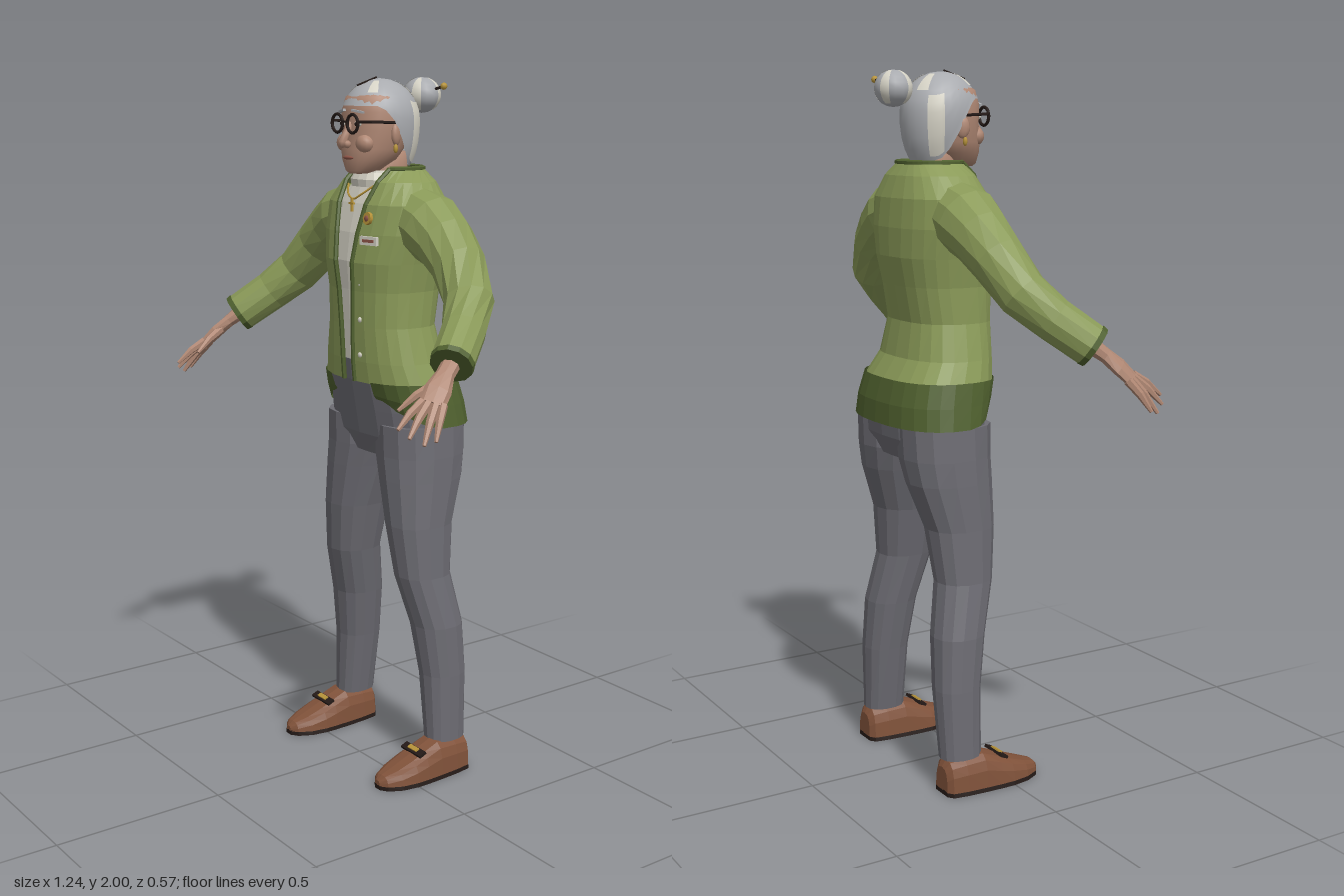
import * as THREE from 'three';

const mat = (name, color, double) => {
  const m = new THREE.MeshStandardMaterial({ color });
  m.name = name;
  if (double) m.side = THREE.DoubleSide;
  return m;
};
const V = (x, y, z) => new THREE.Vector3(x, y, z);

// Skin a stack of rings; rings run counter-clockwise about the stacking direction.
function skin(rings, { closed = true, cap = true, flat = true } = {}) {
  const n = rings[0].length, pts = rings.flat(), idx = [];
  const cols = closed ? n : n - 1;
  for (let i = 0; i < rings.length - 1; i++) {
    for (let j = 0; j < cols; j++) {
      const k = (j + 1) % n, a = i * n + j, b = i * n + k, c = b + n, d = a + n;
      idx.push(a, b, c, a, c, d);
    }
  }
  if (closed && cap) {
    for (const i of [0, rings.length - 1]) {
      const mid = V(0, 0, 0);
      rings[i].forEach(p => mid.addScaledVector(p, 1 / n));
      const m = pts.push(mid) - 1;
      for (let j = 0; j < n; j++) {
        const a = i * n + j, b = i * n + (j + 1) % n;
        if (i === 0) idx.push(m, b, a); else idx.push(m, a, b);
      }
    }
  }
  let g = new THREE.BufferGeometry().setFromPoints(pts);
  g.setIndex(idx);
  if (flat) g = g.toNonIndexed();
  g.computeVertexNormals();
  return g;
}

const pw = (v, e) => Math.sign(v) * Math.abs(v) ** e;

// Rounded horizontal ring between zFront and zBack; gap opens it at the front.
function ring(y, rx, zf, zb, { cx = 0, n = 20, e = 0.8, gap = 0, lift = 0 } = {}) {
  const t0 = gap ? Math.asin((gap / rx) ** (1 / e)) : 0;
  const count = gap ? n + 1 : n, out = [];
  for (let j = 0; j < count; j++) {
    const t = t0 + (2 * Math.PI - 2 * t0) * j / n, c = Math.cos(t);
    out.push(V(cx + rx * pw(Math.sin(t), e), y + lift * Math.max(0, c) ** 2,
      (zf + zb) / 2 + (zf - zb) / 2 * pw(c, e)));
  }
  return out;
}

// Tapered limb through [x, y, z, radius, secondRadius] stations.
function limb(st, { n = 10, hint = V(0, 1, 0), flat = true } = {}) {
  const p = st.map(s => V(s[0], s[1], s[2]));
  return skin(p.map((c, i) => {
    const T = p[Math.min(i + 1, p.length - 1)].clone().sub(p[Math.max(i - 1, 0)]).normalize();
    const u = hint.clone().addScaledVector(T, -hint.dot(T)).normalize();
    const v = T.clone().cross(u);
    return Array.from({ length: n }, (_, j) => {
      const t = j / n * 2 * Math.PI;
      return c.clone().addScaledVector(u, st[i][3] * Math.cos(t))
        .addScaledVector(v, (st[i][4] ?? st[i][3]) * Math.sin(t));
    });
  }), { flat });
}

// Hair over the skull, from the hairline (t = 0) to the crown (t = 1).
function hairShell(th0, th1, t0, t1, grow = 1, full = false) {
  const rings = [], n = full ? 28 : 5, rows = full ? 10 : 6;
  for (let i = 0; i <= rows; i++) {
    const t = t0 + (t1 - t0) * i / rows;
    rings.push(Array.from({ length: full ? n : n + 1 }, (_, j) => {
      const th = th0 + (th1 - th0) * j / n, a = Math.abs(Math.atan2(Math.sin(th), Math.cos(th)));
      const phi = (1.2 + 1.3 * THREE.MathUtils.smoothstep(a, 0.9, 2.2)) * (1 - t);
      const r = grow * (phi > 1.57 ? Math.abs(Math.sin(phi)) ** 0.55 : Math.sin(phi));
      const c = Math.cos(phi);
      return V(0.106 * r * Math.sin(th), 1.885 + grow * c * (c < 0 ? 0.155 : 0.115), -0.07 + 0.115 * r * Math.cos(th));
    }));
  }
  return skin(rings, { closed: full, cap: false, flat: false });
}

export function createModel() {
  const M = {
    green: mat('cardigan green', 0x8a9a58, true), dark: mat('trim dark green', 0x50612f, true),
    grey: mat('trouser grey', 0x6d6c73), brown: mat('shoe brown', 0x80523a),
    skin: mat('skin', 0xb08874), hair: mat('hair grey', 0xa9abaf, true),
    ivory: mat('ivory', 0xd6d3c6, true), black: mat('near black', 0x241a17),
    gold: mat('gold', 0xb8943a), red: mat('rose', 0x8f5548),
  };
  const root = new THREE.Group();
  root.name = 'elderlyWoman';
  const add = (name, geo, m, pos, rot, scale) => {
    const mesh = new THREE.Mesh(geo, m);
    mesh.name = name;
    if (pos) mesh.position.set(...pos);
    if (rot) mesh.rotation.set(...rot);
    if (scale) mesh.scale.set(...scale);
    root.add(mesh);
    return mesh;
  };
  const ball = (r, w = 12, h = 8) => new THREE.SphereGeometry(r, w, h);
  const box = (x, y, z) => new THREE.BoxGeometry(x, y, z);

  // Open cardigan: y, half width, front z, back z, half gap
  const body = [
    [1.16, 0.215, 0.035, -0.258, 0.026], [1.22, 0.195, 0.04, -0.218, 0.025], [1.32, 0.17, 0.044, -0.2, 0.028],
    [1.42, 0.17, 0.048, -0.218, 0.034], [1.5, 0.183, 0.056, -0.235, 0.04], [1.58, 0.2, 0.045, -0.236, 0.05],
    [1.66, 0.2, 0.028, -0.228, 0.064], [1.72, 0.15, 0, -0.208, 0.075], [1.755, 0.1, -0.025, -0.185, 0.078],
  ].map(([y, rx, zf, zb, gap]) => ring(y, rx, zf, zb, { n: 24, gap }));
  add('cardiganBody', skin(body, { closed: false }), M.green);
  const hem = [[1.04, 0.243, 0.008, -0.285, 0.07], [1.1, 0.232, 0.026, -0.281, 0.03], [1.165, 0.22, 0.04, -0.263, 0]]
    .map(([y, rx, zf, zb, lift]) => ring(y, rx, zf, zb, { n: 24, gap: 0.095, lift }));
  add('cardiganHem', skin(hem, { closed: false }), M.dark);
  for (const j of [0, 24]) {
    add('openingTrim', limb(body.map(r => [r[j].x, r[j].y, r[j].z, 0.007]), { n: 6, hint: V(1, 0, 0) }), M.dark);
  }
  add('collarTrim', limb(body[8].map(p => [p.x, p.y, p.z, 0.007]), { n: 6 }), M.dark);

  // Shirt with rolled neck
  add('shirt', skin([
    [1.19, 0.175, 0.03, -0.19], [1.32, 0.155, 0.034, -0.18], [1.42, 0.155, 0.038, -0.2], [1.5, 0.165, 0.044, -0.215],
    [1.58, 0.175, 0.034, -0.215], [1.66, 0.165, 0.014, -0.2], [1.71, 0.095, -0.005, -0.18], [1.75, 0.072, -0.008, -0.172],
  ].map(r => ring(...r))), M.ivory);
  add('shirtCollar', skin([[1.705, 0.082, 0.004, -0.18], [1.725, 0.086, 0.006, -0.183], [1.745, 0.07, -0.004, -0.168]]
    .map(r => ring(...r))), M.ivory);

  // Trousers
  add('trouserSeat', skin([
    [0.94, 0.2, -0.025, -0.235], [1.0, 0.225, 0, -0.262], [1.08, 0.22, 0.014, -0.268],
    [1.16, 0.2, 0.028, -0.24], [1.22, 0.175, 0.034, -0.2],
  ].map(r => ring(...r))), M.grey);

  for (const s of [1, -1]) {
    const side = s > 0 ? 'left' : 'right';
    // Legs: y, inner x, outer x, front z, back z
    add(side + 'TrouserLeg', skin([
      [0.1, 0.18, 0.275, -0.083, -0.206], [0.3, 0.15, 0.273, -0.078, -0.215], [0.45, 0.125, 0.268, -0.058, -0.21],
      [0.6, 0.098, 0.244, -0.018, -0.183], [0.75, 0.065, 0.238, -0.003, -0.2], [0.88, 0.026, 0.235, 0, -0.245],
      [0.95, 0.004, 0.233, 0, -0.258], [1.04, 0.004, 0.228, 0.002, -0.262],
    ].map(([y, a, b, zf, zb]) => ring(y, (b - a) / 2, zf, zb, { cx: s * (a + b) / 2, n: 14, e: 0.88 }))), M.grey);

    // Shoes: z, half width, height
    const prof = [[-0.208, 0.032, 0.08], [-0.195, 0.048, 0.1], [-0.15, 0.055, 0.106], [-0.09, 0.059, 0.11],
      [-0.04, 0.061, 0.09], [0, 0.061, 0.073], [0.05, 0.053, 0.054], [0.09, 0.033, 0.04], [0.105, 0.012, 0.026]];
    const shoe = (k, lo, hi) => skin(prof.map(([z, w, h]) => Array.from({ length: 16 }, (_, j) => {
      const t = j / 16 * 2 * Math.PI;
      return V(s * 0.234 - k * w * pw(Math.sin(t), 0.7), Math.max(lo, Math.min(hi, h * pw(Math.cos(t), 0.6))), z);
    })));
    add(side + 'Shoe', shoe(1, 0.012, 1), M.brown);
    add(side + 'Sole', shoe(1.03, 0, 0.014), M.black);
    add(side + 'ShoeStrap', box(0.09, 0.008, 0.024), M.black, [s * 0.234, 0.086, -0.026], [0.4, 0, 0]);
    add(side + 'ShoeBuckle', box(0.04, 0.009, 0.014), M.gold, [s * 0.234, 0.09, -0.026], [0.4, 0, 0]);

    // Sleeves and cuffs
    add(side + 'Sleeve', limb([
      [s * 0.12, 1.625, -0.1, 0.088], [s * 0.2, 1.6, -0.1, 0.094], [s * 0.26, 1.565, -0.098, 0.084],
      [s * 0.33, 1.51, -0.09, 0.075], [s * 0.41, 1.425, -0.062, 0.068], [s * 0.465, 1.36, 0, 0.06],
      [s * 0.52, 1.292, 0.082, 0.058],
    ], { n: 12 }), M.green);
    add(side + 'Cuff', limb([[s * 0.517, 1.296, 0.078, 0.06], [s * 0.524, 1.287, 0.089, 0.058]], { n: 12 }), M.dark);

    // Hands
    const across = V(s * 0.06, -0.02, -0.07);
    add(side + 'Palm', limb([
      [s * 0.515, 1.298, 0.075, 0.026, 0.024], [s * 0.532, 1.267, 0.115, 0.025, 0.019],
      [s * 0.548, 1.235, 0.15, 0.036, 0.018], [s * 0.562, 1.203, 0.18, 0.034, 0.014],
    ], { n: 8, hint: across }), M.skin);
    const fingers = [
      [0.544, 1.21, 0.197, 0.556, 1.15, 0.283], [0.556, 1.207, 0.187, 0.583, 1.13, 0.268],
      [0.568, 1.204, 0.173, 0.604, 1.112, 0.237], [0.578, 1.202, 0.157, 0.615, 1.12, 0.208],
      [0.528, 1.245, 0.148, 0.503, 1.185, 0.243],
    ];
    fingers.forEach(([x, y, z, X, Y, Z], i) => add(side + (i < 4 ? 'Finger' : 'Thumb'), limb([
      [s * x, y, z, 0.013], [s * (x + X) / 2, (y + Y) / 2 + 0.006, (z + Z) / 2, 0.011], [s * X, Y, Z, 0.005],
    ], { n: 6 }), M.skin));

    // Ears, earrings, eyes and glasses
    add(side + 'Ear', ball(0.028), M.skin, [s * 0.095, 1.85, -0.055], [0, s * 0.4, 0], [0.4, 1.1, 0.7]);
    add(side + 'Earring', ball(0.008, 8, 6), M.gold, [s * 0.1, 1.812, -0.05], null, [0.8, 1.6, 0.8]);
    add(side + 'Eye', ball(0.013), M.ivory, [s * 0.035, 1.878, 0.031], null, [1.1, 0.6, 0.5]);
    add(side + 'Pupil', ball(0.006, 8, 6), M.black, [s * 0.035, 1.878, 0.037], null, [1, 1, 0.5]);
    add(side + 'Brow', box(0.04, 0.006, 0.008), M.hair, [s * 0.037, 1.912, 0.033], [0, s * 0.3, -s * 0.15]);
    add(side + 'LensRim', new THREE.TorusGeometry(0.025, 0.0045, 6, 20), M.black, [s * 0.036, 1.879, 0.05]);
    add(side + 'GlassesHinge', limb([[s * 0.06, 1.885, 0.05, 0.004], [s * 0.09, 1.885, 0.03, 0.004],
      [s * 0.099, 1.882, -0.05, 0.004]], { n: 6 }), M.black);
    add(side + 'Cheek', ball(0.03), M.skin, [s * 0.045, 1.825, 0.014], null, [1, 0.9, 0.85]);
    add(side + 'Nostril', ball(0.011, 8, 6), M.skin, [s * 0.011, 1.823, 0.05]);
  }
  add('glassesBridge', box(0.022, 0.006, 0.006), M.black, [0, 1.884, 0.052]);

  // Head and neck
  add('neck', skin([[1.69, 0.062, -0.015, -0.165], [1.75, 0.056, -0.025, -0.155], [1.8, 0.058, -0.03, -0.15]]
    .map(r => ring(...r, { e: 1 })), { flat: false }), M.skin);
  add('head', skin([
    [1.742, 0.028, 0.028, -0.03], [1.75, 0.046, 0.036, -0.06], [1.78, 0.072, 0.041, -0.11], [1.81, 0.085, 0.041, -0.13],
    [1.86, 0.094, 0.035, -0.15], [1.91, 0.096, 0.037, -0.16], [1.95, 0.085, 0.026, -0.15], [1.98, 0.05, -0.02, -0.12],
  ].map(r => ring(...r, { n: 24, e: 0.9 })), { flat: false }), M.skin);
  add('nose', limb([[0, 1.88, 0.03, 0.01], [0, 1.85, 0.046, 0.011], [0, 1.828, 0.057, 0.014], [0, 1.818, 0.054, 0.009]],
    { n: 8, hint: V(0, 0, 1), flat: false }), M.skin);
  add('mouth', ball(0.024), M.red, [0, 1.786, 0.038], null, [1, 0.24, 0.3]);

  // Hair, pale streaks and bun
  const D = Math.PI / 180;
  add('hair', hairShell(0, 2 * Math.PI, 0, 1, 1, true), M.hair);
  add('hairParting', box(0.004, 0.004, 0.07), M.black, [0, 1.992, -0.025], [0.32, 0, 0]);
  for (const s of [1, -1]) {
    for (const [a, b, t0, t1] of [[32, 52, 0.3, 0.7], [112, 136, 0.05, 0.55], [138, 160, 0.6, 0.85]]) {
      const lo = s > 0 ? a : -b, hi = s > 0 ? b : -a;
      add('hairStreak', hairShell(lo * D, hi * D, t0, t1, 1.012), M.ivory);
    }
  }
  add('bun', ball(0.054, 14, 10), M.hair, [0, 1.953, -0.217], null, [1.08, 0.92, 0.95]);
  for (let i = 0; i < 4; i++) {
    add('bunStreak', new THREE.SphereGeometry(0.055, 4, 8, i * 1.57 + 0.3, 0.5, 0.3, 2.2), M.ivory,
      [0, 1.953, -0.217], null, [1.08, 0.92, 0.95]);
  }
  add('hairPin', limb([[0.03, 1.965, -0.225, 0.004], [0.085, 1.978, -0.228, 0.004]], { n: 6 }), M.black);
  add('hairPinBead', ball(0.01, 8, 6), M.gold, [0.086, 1.978, -0.228]);

  // Necklace, brooch, name plate and buttons
  add('necklace', new THREE.TubeGeometry(new THREE.CatmullRomCurve3(
    [V(-0.06, 1.71, -0.005), V(-0.03, 1.685, 0.018), V(0, 1.672, 0.022), V(0.03, 1.685, 0.018), V(0.06, 1.71, -0.005)]),
  16, 0.003, 5), M.gold);
  add('pendantUpright', box(0.006, 0.036, 0.006), M.gold, [0, 1.655, 0.027]);
  add('pendantBar', box(0.022, 0.006, 0.006), M.gold, [0, 1.66, 0.027]);
  add('brooch', new THREE.CylinderGeometry(0.018, 0.018, 0.009, 8), M.gold, [0.09, 1.625, 0.037], [1.4, 0, 0]);
  add('broochStone', ball(0.009, 8, 6), M.red, [0.09, 1.625, 0.042], null, [1, 1, 0.5]);
  add('namePlate', box(0.062, 0.024, 0.009), M.ivory, [0.105, 1.565, 0.044], [0, 0.2, 0]);
  add('namePlateStripe', box(0.04, 0.008, 0.004), M.red, [0.107, 1.565, 0.049], [0, 0.2, 0]);
  for (const y of [1.24, 1.34, 1.44]) add('button', ball(0.008, 8, 6), M.ivory, [0.058, y, 0.041], null, [1, 1, 0.6]);
  return root;
}
